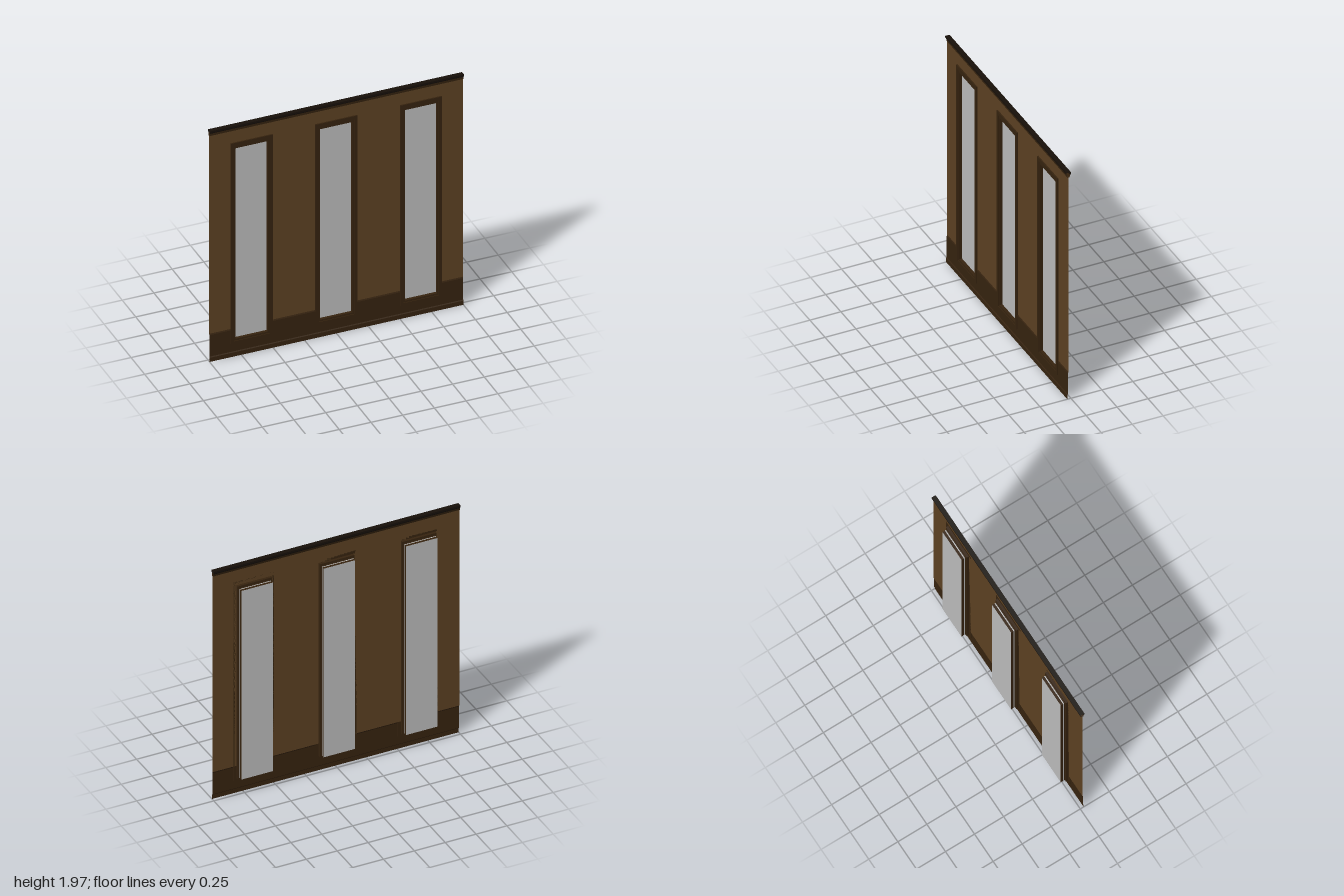
import * as THREE from 'three';

const mat = (name, color, side = THREE.FrontSide) => {
  const m = new THREE.MeshStandardMaterial({ color, side });
  m.name = name;
  return m;
};

export function createModel() {
  const root = new THREE.Group();
  root.name = 'windowWall';
  const wallMat = mat('brown wall', 0x5c4122, THREE.DoubleSide);
  const trimMat = mat('dark wood', 0x36230f, THREE.DoubleSide);
  const crownMat = mat('black wood', 0x171009, THREE.DoubleSide);
  const glassMat = mat('pale glass', 0xbcbcbc);

  const centres = [-0.667, 0, 0.667];
  const WALL_Z = 0.02, HOLE = 0.14, HOLE_LOW = 0.13, HOLE_TOP = 1.79;

  const add = (parent, name, geo, material) => {
    const m = new THREE.Mesh(geo, material);
    m.name = name;
    parent.add(m);
    return m;
  };

  // flat-shaded strip: a [y, z] profile swept along x, open at the ends
  const strip = (profile, x0, x1) => {
    const p = [];
    for (let i = 0; i < profile.length - 1; i++) {
      const [ya, za] = profile[i], [yb, zb] = profile[i + 1];
      p.push(x0, ya, za, x1, ya, za, x1, yb, zb, x0, ya, za, x1, yb, zb, x0, yb, zb);
    }
    const g = new THREE.BufferGeometry();
    g.setAttribute('position', new THREE.Float32BufferAttribute(p, 3));
    g.computeVertexNormals();
    return g;
  };

  // rectangular ring from z0 to z1; sizes are half width, bottom, top
  const ring = ([w, b, t], [iw, ib, it], z0, z1) => {
    const rect = (C, hw, lo, hi) => {
      const s = new C();
      s.moveTo(-hw, lo); s.lineTo(hw, lo); s.lineTo(hw, hi); s.lineTo(-hw, hi); s.closePath();
      return s;
    };
    const s = rect(THREE.Shape, w, b, t);
    s.holes.push(rect(THREE.Path, iw, ib, it));
    return new THREE.ExtrudeGeometry(s, { depth: z1 - z0, bevelEnabled: false }).translate(0, 0, z0);
  };

  // wall piers between the windows, with the upper skirting on each
  const edges = [-1, ...centres.flatMap(c => [c - HOLE, c + HOLE]), 1];
  for (let i = 0; i < edges.length; i += 2) {
    const [a, b] = [edges[i], edges[i + 1]];
    add(root, 'wallPier', strip([[0.235, WALL_Z], [HOLE_TOP, WALL_Z]], a, b), wallMat);
    add(root, 'skirtingUpper', strip([[HOLE_LOW, 0.024], [0.225, 0.024], [0.235, WALL_Z]], a, b), trimMat);
  }
  add(root, 'wallHeader', strip([[HOLE_TOP, WALL_Z], [1.93, WALL_Z]], -1, 1), wallMat);
  add(root, 'skirtingLower',
    strip([[0, 0.029], [0.035, 0.029], [0.042, 0.024], [HOLE_LOW, 0.024]], -1, 1), trimMat);

  // crown moulding
  add(root, 'crownBand', strip([[1.945, 0.006], [1.925, 0.012], [1.925, 0.026], [1.945, 0.028]], -1, 1), trimMat);
  add(root, 'crownTop',
    strip([[1.945, 0.006], [1.955, 0.001], [1.97, 0.001], [1.97, 0.036], [1.955, 0.036], [1.945, 0.028]], -1, 1), crownMat);

  // windows
  const outer = [0.165, 0.11, 1.82], step = [HOLE, HOLE_LOW, HOLE_TOP], pane = [0.1275, 0.145, 1.77];
  const paneH = pane[2] - pane[1], paneY = (pane[1] + pane[2]) / 2;
  const inner = [0.1265, 0.146, 1.769];
  for (const c of centres) {
    const w = new THREE.Group();
    w.name = 'window';
    w.position.x = c;
    root.add(w);
    add(w, 'outerCasing', ring(outer, step, WALL_Z, 0.03), trimMat);
    add(w, 'innerCasing', ring(step, pane, 0, 0.024), trimMat);
    add(w, 'frameFront', ring(pane, inner, -0.008, 0), trimMat);
    add(w, 'frameBack', ring(pane, inner, -0.036, -0.016), trimMat);
    // glass slab whose edge shows between the two frames
    add(w, 'glassEdge', new THREE.BoxGeometry(0.255, paneH, 0.008).translate(0, paneY, -0.012), glassMat);
    add(w, 'glassFront', new THREE.PlaneGeometry(0.255, paneH).translate(0, paneY, 0.0005), glassMat);
    add(w, 'glassBack', new THREE.PlaneGeometry(0.255, paneH).rotateY(Math.PI).translate(0, paneY, -0.0365), glassMat);
  }
  return root;
}
